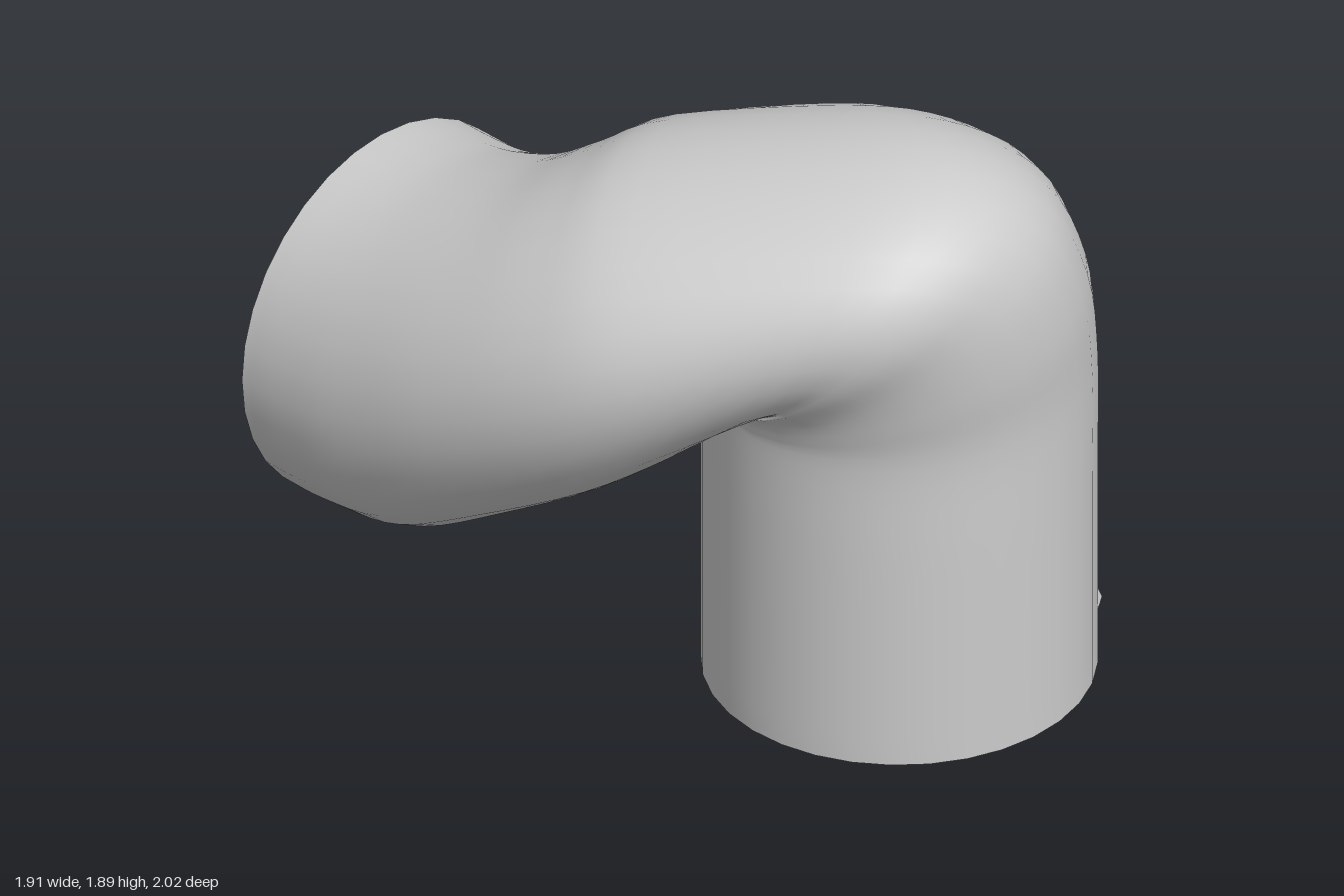
import * as THREE from 'three';

const SIDES = 32;
const STEPS = 52;
const grey = () => new THREE.MeshStandardMaterial({ color: 0xcccccc });
const V = (x, y, z) => new THREE.Vector3(x, y, z);

// Cross-section: inner-bend point, outer-bend point, heading in plan, half width
function station(inner, outer, hx, hz, half) {
  const side = V(hz, 0, -hx).normalize().multiplyScalar(half);
  return { inner, outer, side };
}

// Section of the elbow; s runs outward from the inner corner, lean moves the outer point sideways
const elbowPoint = (s, y, lean = 0) =>
  V(-0.103 + 0.8 * s - 0.6 * lean, y, 0.064 + 0.6 * s + 0.8 * lean);
const elbow = (yi, so, yo, half = 0.585, lean = 0) =>
  station(elbowPoint(0, yi), elbowPoint(so, yo, lean), -0.8, -0.6, half);

const stations = [
  // upright leg
  elbow(0, 1.17, 0),
  elbow(0.35, 1.17, 0.35),
  elbow(0.7, 1.17, 0.72),
  elbow(0.98, 1.17, 1.08),
  // tight elbow fanning around the inner corner
  elbow(1.02, 1.13, 1.4, 0.588, 0.06),
  elbow(1.03, 1.01, 1.68, 0.592, 0.12),
  elbow(1.04, 0.77, 1.85, 0.6, 0.17),
  station(V(-0.04, 1.03, 0.1), V(0.16, 1.89, 0.44), -0.74, -0.67, 0.6),
  // arm curving round and down to the back
  station(V(-0.15, 0.92, 0.09), V(-0.19, 1.81, -0.07), -0.54, -0.84, 0.595),
  station(V(-0.25, 0.74, -0.1), V(-0.31, 1.715, -0.27), -0.4, -0.92, 0.59),
  station(V(-0.33, 0.55, -0.37), V(-0.35, 1.615, -0.47), -0.2, -0.98, 0.585),
  station(V(-0.36, 0.39, -0.62), V(-0.365, 1.55, -0.69), -0.05, -1, 0.585),
  station(V(-0.365, 0.35, -0.83), V(-0.365, 1.53, -0.85), 0, -1, 0.587),
  station(V(-0.365, 0.35, -1), V(-0.365, 1.53, -1), 0, -1, 0.587),
];

function buildRings() {
  const curve = (key) =>
    new THREE.CatmullRomCurve3(stations.map((s) => s[key]), false, 'catmullrom', 0.5);
  const inner = curve('inner'), outer = curve('outer'), side = curve('side');
  const rings = [];
  for (let i = 0; i <= STEPS; i++) {
    const t = i / STEPS;
    const a = inner.getPoint(t), b = outer.getPoint(t), w = side.getPoint(t);
    const centre = a.clone().add(b).multiplyScalar(0.5);
    const v = b.clone().sub(a).multiplyScalar(0.5);
    const ring = [];
    for (let j = 0; j < SIDES; j++) {
      const ang = (j / SIDES) * Math.PI * 2;
      ring.push(centre.clone().addScaledVector(w, Math.cos(ang)).addScaledVector(v, Math.sin(ang)));
    }
    rings.push({ centre, ring });
  }
  return rings;
}

function makeMesh(name, points, index) {
  const geo = new THREE.BufferGeometry().setFromPoints(points);
  geo.setIndex(index);
  geo.computeVertexNormals();
  const mesh = new THREE.Mesh(geo, grey());
  mesh.name = name;
  return mesh;
}

function makeCap(name, { centre, ring }, flip) {
  const index = [];
  for (let j = 0; j < SIDES; j++) {
    const a = 1 + j, b = 1 + ((j + 1) % SIDES);
    index.push(0, flip ? b : a, flip ? a : b);
  }
  return makeMesh(name, [centre, ...ring], index);
}

export function createModel() {
  const group = new THREE.Group();
  group.name = 'bentPipe';
  const rings = buildRings();

  // Pipe wall
  const index = [];
  for (let i = 0; i < STEPS; i++) {
    for (let j = 0; j < SIDES; j++) {
      const k = (j + 1) % SIDES;
      const a = i * SIDES + j, b = i * SIDES + k;
      index.push(a, b, a + SIDES, b, b + SIDES, a + SIDES);
    }
  }
  group.add(makeMesh('pipeWall', rings.flatMap((r) => r.ring), index));

  // Closed ends
  group.add(makeCap('bottomEnd', rings[0], true));
  group.add(makeCap('backEnd', rings[STEPS], false));

  // Small diamond studs near the foot of the leg
  for (const degrees of [42, -74]) {
    const a = THREE.MathUtils.degToRad(degrees);
    const stud = new THREE.Mesh(new THREE.OctahedronGeometry(1), grey());
    stud.name = 'diamondStud';
    stud.material.flatShading = true;
    stud.scale.set(0.065, 0.036, 0.015);
    stud.position.set(0.365 + 0.583 * Math.cos(a), 0.19, 0.415 + 0.583 * Math.sin(a));
    stud.rotation.y = Math.PI / 2 - a;
    group.add(stud);
  }
  return group;
}
